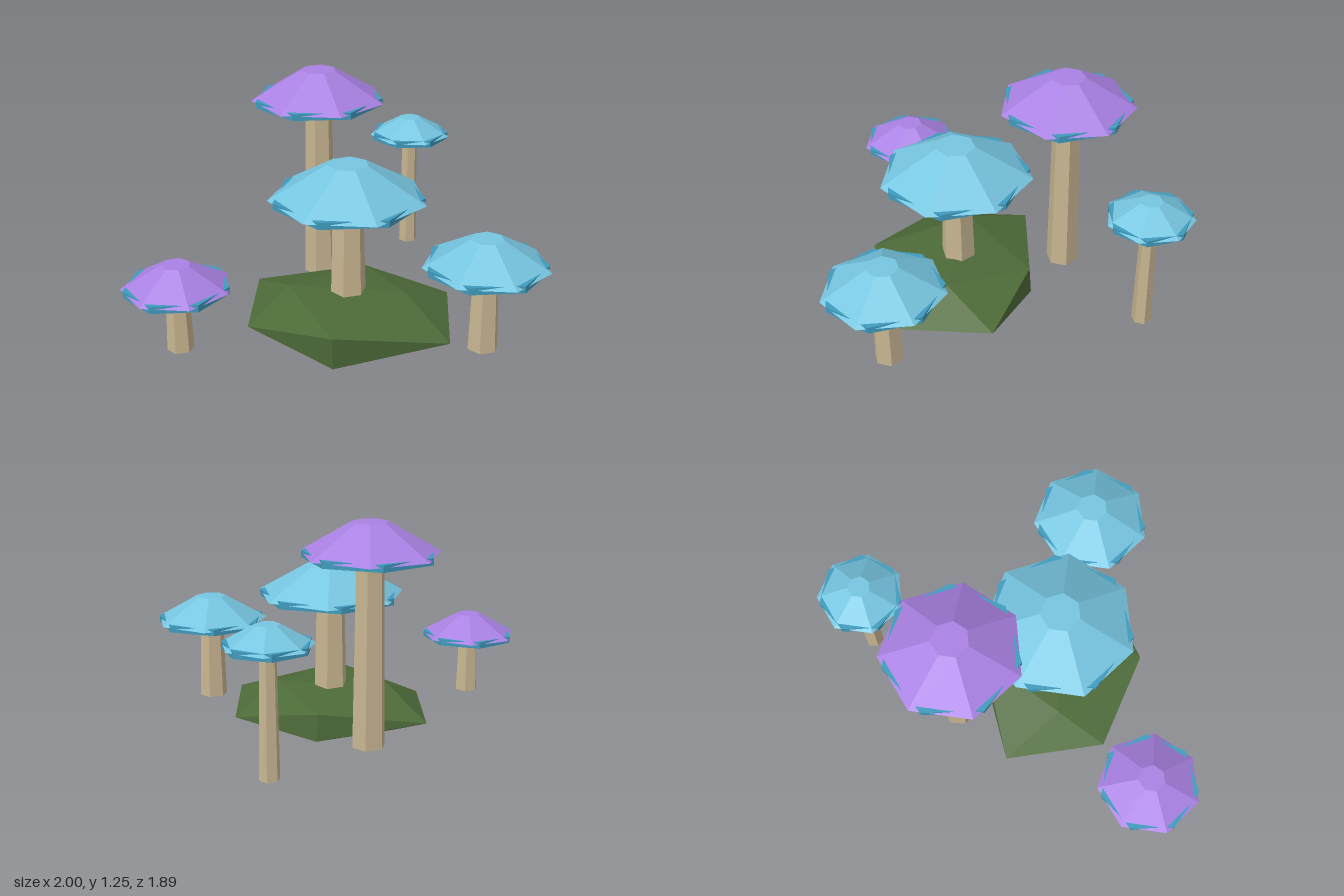
import * as THREE from 'three';
import { ConvexGeometry } from 'three/addons/geometries/ConvexGeometry.js';

const material = (name, color) => {
  const m = new THREE.MeshStandardMaterial({ color });
  m.name = name;
  return m;
};

// Faceted tapered prism standing on y0
function prism(name, mat, rTop, rBottom, y0, y1, sides, turn) {
  const geo = new THREE.CylinderGeometry(rTop, rBottom, y1 - y0, sides).toNonIndexed();
  geo.computeVertexNormals();
  const mesh = new THREE.Mesh(geo, mat);
  mesh.name = name;
  mesh.position.y = (y0 + y1) / 2;
  mesh.rotation.y = turn;
  return mesh;
}

export function createModel() {
  const purple = material('purple cap', 0xa981e3);
  const blue = material('blue cap', 0x76c5e0);
  const teal = material('teal gills', 0x3f9bbd);
  const tan = material('tan stem', 0xc8b592);
  const green = material('moss green', 0x4d6a38);

  const model = new THREE.Group();
  model.name = 'mushroomCluster';

  // Mushrooms: centre x, z, cap radius, cap base, cap top, stem radii, colour
  const mushrooms = [
    ['tallMushroom', -0.225, -0.262, 0.35, 1.09, 1.245, 0.071, 0.086, purple],
    ['middleMushroom', 0.008, 0.268, 0.395, 0.765, 0.935, 0.077, 0.093, blue],
    ['leftMushroom', 0.693, 0.485, 0.308, 0.55, 0.683, 0.063, 0.076, blue],
    ['rightMushroom', -0.744, 0.698, 0.265, 0.44, 0.555, 0.053, 0.065, purple],
    ['backMushroom', 0.212, -0.727, 0.222, 0.762, 0.857, 0.041, 0.051, blue],
  ];
  for (const [name, x, z, r, base, top, stemTop, stemBottom, capMat] of mushrooms) {
    const group = new THREE.Group();
    group.name = name;
    group.position.set(x, 0, z);
    group.add(
      prism('stem', tan, stemTop, stemBottom, 0.11, base, 6, -0.12),
      // Gill disc is twisted so its corners just poke past the cap edge
      prism('gills', teal, r * 0.955, r * 0.955, base - 0.021, base + 0.014, 7, Math.PI / 2),
      prism('cap', capMat, r * 0.26, r, base, top, 7, Math.PI / 2 - 0.18),
    );
    model.add(group);
  }

  // Squashed, uneven twenty-sided mound
  const corners = [
    [-0.30, 0.265, 0.27], [0.30, 0.265, 0.27], [-0.34, 0, 0.27], [0.29, 0.035, 0.27],
    [0, 0.235, 0.735], [0, 0.065, 0.72], [0.04, 0.215, -0.12], [0.05, 0.07, -0.13],
    [-0.515, 0.145, -0.015], [0.49, 0.145, 0], [-0.457, 0.145, 0.51], [0.54, 0.145, 0.54],
  ].map((p) => new THREE.Vector3(...p));
  const mound = new THREE.Mesh(new ConvexGeometry(corners), green);
  mound.name = 'mossyMound';
  model.add(mound);

  return model;
}
